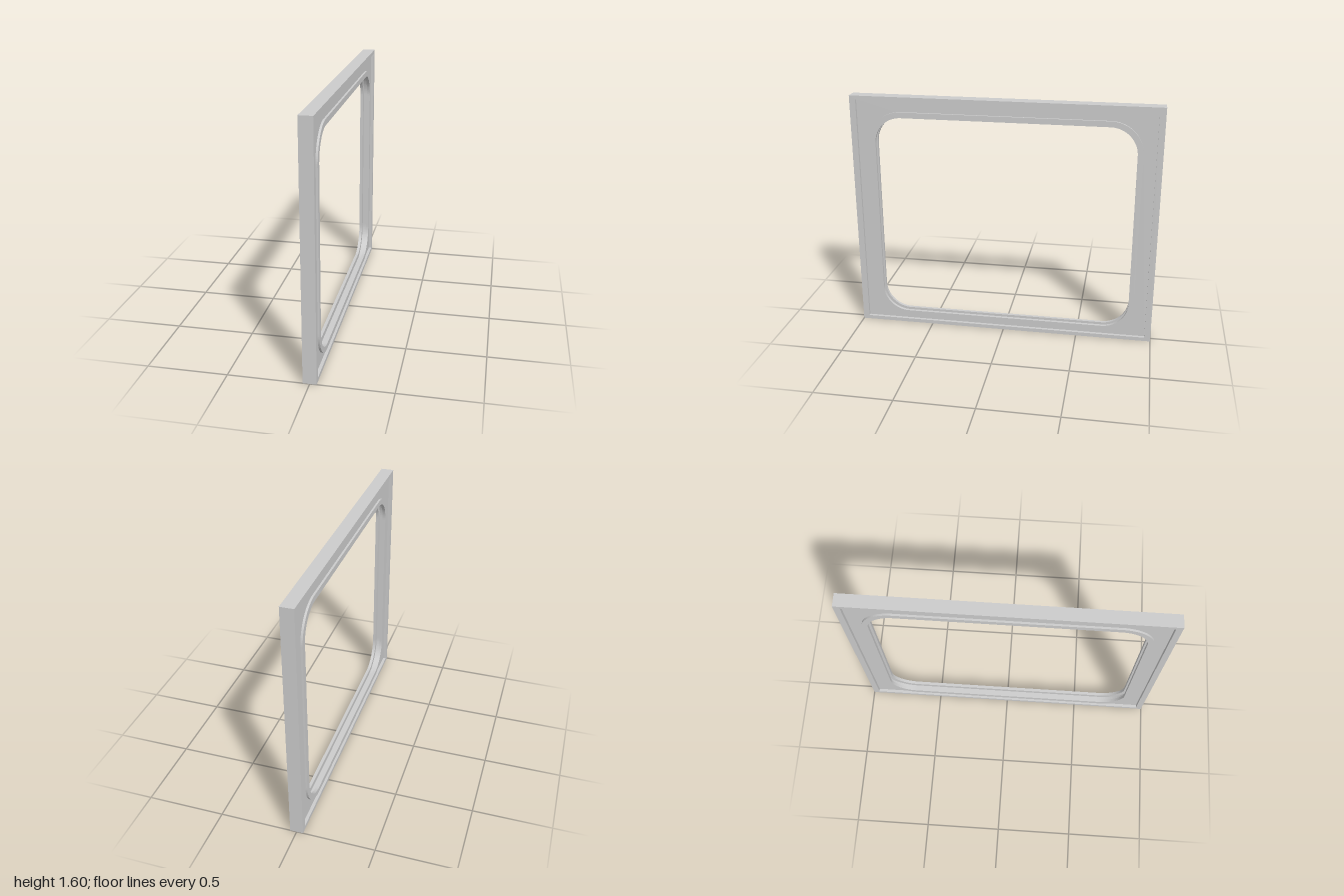
import * as THREE from 'three';

const material = new THREE.MeshStandardMaterial({ color: 0xcccccc });

// Rectangle outline, half width w, from y0 to y1, with corner radius r
function outline(target, w, y0, y1, r = 0) {
  if (!r) {
    target.moveTo(-w, y0).lineTo(w, y0).lineTo(w, y1).lineTo(-w, y1).closePath();
    return target;
  }
  target.moveTo(-w + r, y0);
  target.lineTo(w - r, y0);
  target.absarc(w - r, y0 + r, r, -Math.PI / 2, 0);
  target.lineTo(w, y1 - r);
  target.absarc(w - r, y1 - r, r, 0, Math.PI / 2);
  target.lineTo(-w + r, y1);
  target.absarc(-w + r, y1 - r, r, Math.PI / 2, Math.PI);
  target.lineTo(-w, y0 + r);
  target.absarc(-w + r, y0 + r, r, Math.PI, Math.PI * 1.5);
  return target;
}

// Flat ring between two outlines, spanning x0 to x1
function ring(name, outer, inner, x0, x1) {
  const shape = outline(new THREE.Shape(), ...outer);
  shape.holes.push(outline(new THREE.Path(), ...inner));
  const geometry = new THREE.ExtrudeGeometry(shape, { depth: x1 - x0, bevelEnabled: false, curveSegments: 12 });
  geometry.translate(0, 0, x0).rotateY(Math.PI / 2);
  const mesh = new THREE.Mesh(geometry, material);
  mesh.name = name;
  return mesh;
}

export function createModel() {
  const group = new THREE.Group();
  group.name = 'windowFrame';

  const rimOuter = [1, 0, 1.6];
  const rimInner = [0.96, 0.025, 1.575];
  const sealOuter = [0.88, 0.05, 1.5, 0.21];
  const sealInner = [0.843, 0.085, 1.463, 0.175];
  const panelHole = [0.878, 0.052, 1.498, 0.208];

  // Square outer rim and the thinner panel inside it
  group.add(ring('outerRim', rimOuter, rimInner, -0.042, 0.042));
  group.add(ring('panel', rimInner, panelHole, -0.022, 0.022));

  // Raised retaining ring on each side, leaving a groove between them
  group.add(ring('retainingRingLeft', sealOuter, sealInner, 0.015, 0.035));
  group.add(ring('retainingRingRight', sealOuter, sealInner, -0.035, -0.015));

  return group;
}
